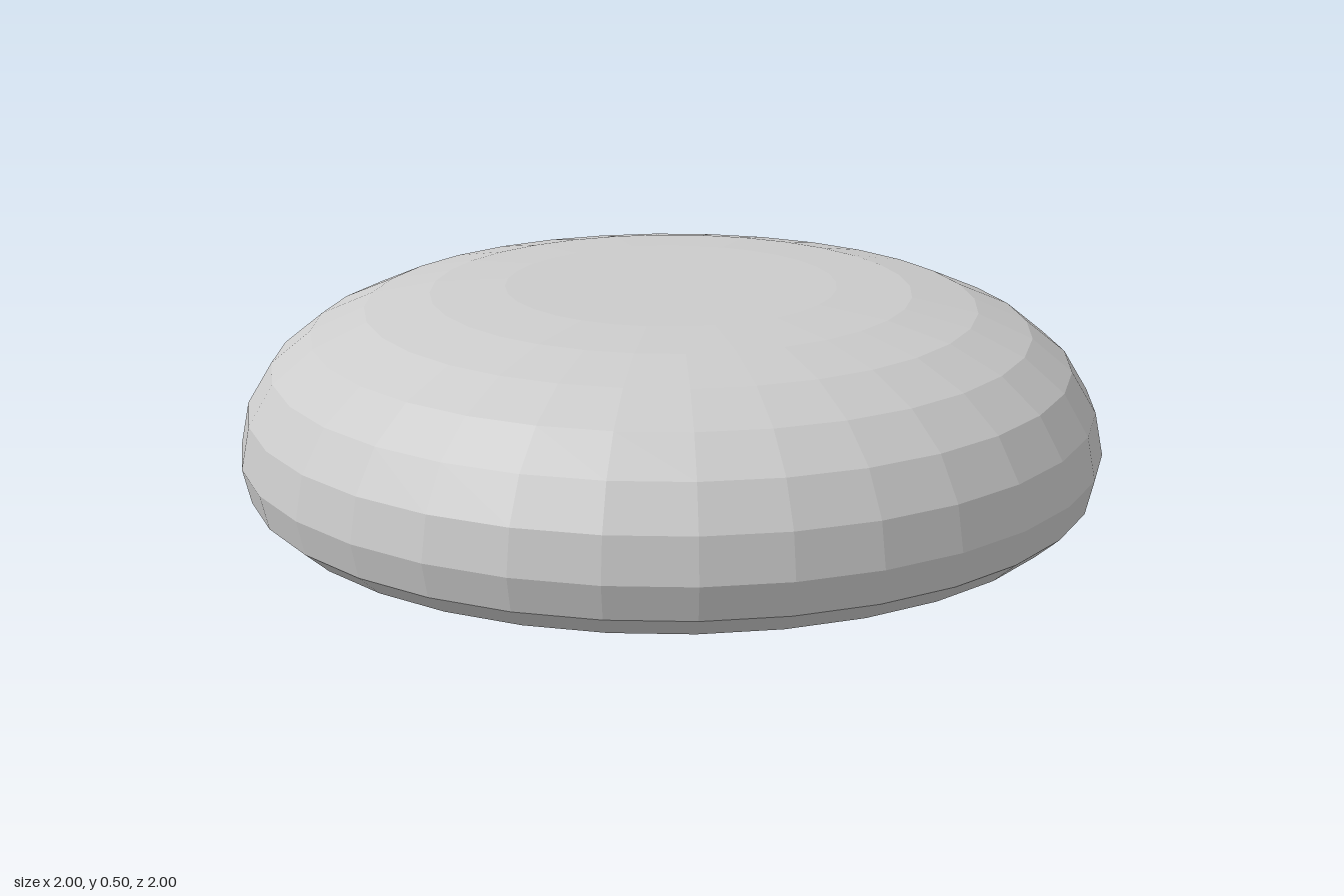
import * as THREE from 'three';

const SIDES = 32;

// Heights of the rings, whose radii follow the sine of equal angle steps
const undersideHeights = [0.355, 0.355, 0.25, 0.155, 0.06, 0.01, 0];
const domeHeights = [0.05, 0.13, 0.23, 0.325, 0.4, 0.455, 0.487, 0.5, 0.5, 0.5];

export function createModel() {
  const group = new THREE.Group();
  group.name = 'mushroomCap';

  // Closed profile: centre of the hollow, out to the rim, over the dome to the top
  const profile = [...undersideHeights, ...domeHeights].map((y, i) => {
    const radius = Math.max(0, Math.sin((i * Math.PI) / 16));
    return new THREE.Vector2(radius, y);
  });

  const cap = new THREE.Mesh(
    new THREE.LatheGeometry(profile, SIDES),
    new THREE.MeshStandardMaterial({ color: 0xcccccc, flatShading: true })
  );
  cap.name = 'cap';
  group.add(cap);
  return group;
}
